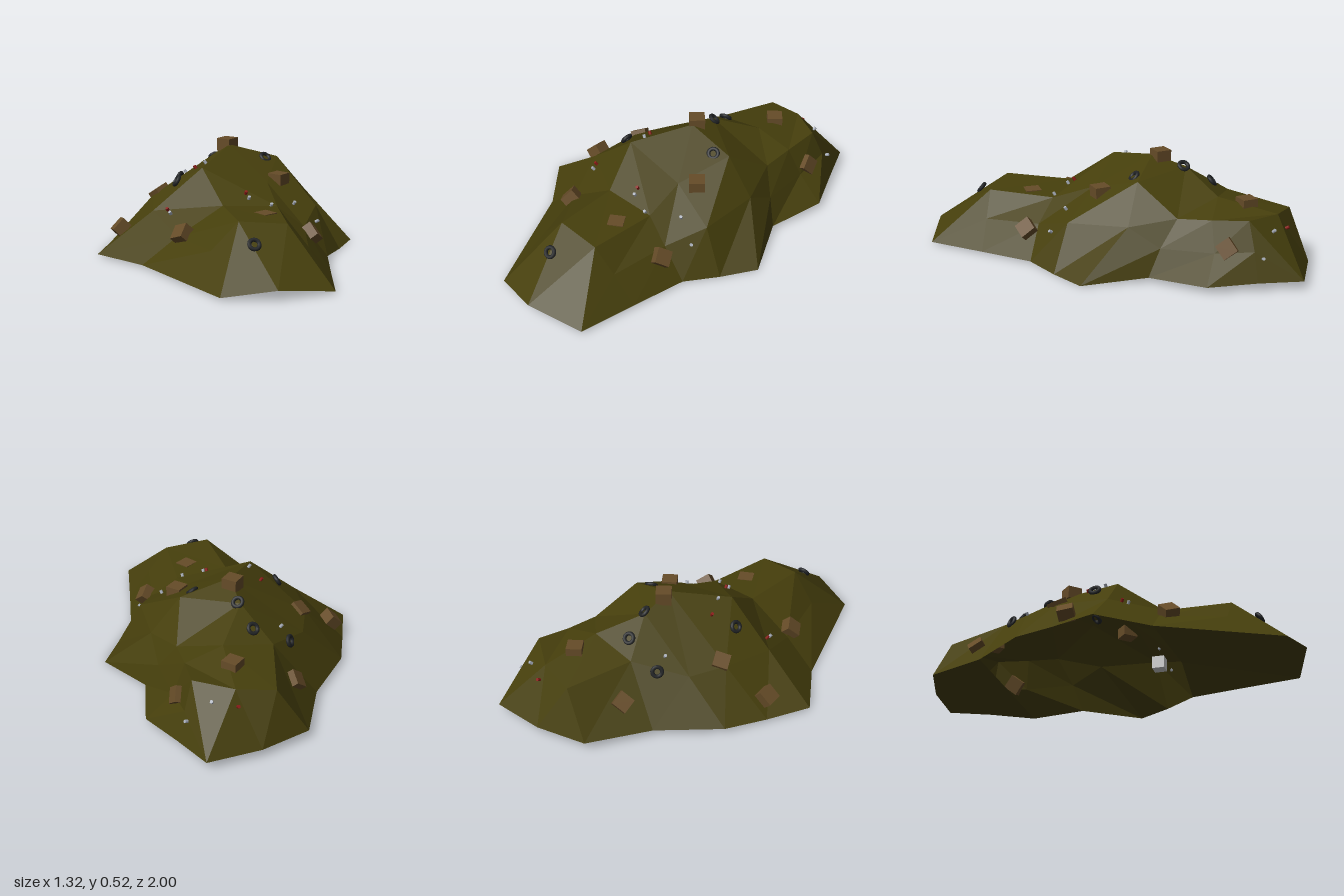
import * as THREE from 'three';

// Cross-sections of the heap from front to back, each from -x to +x: [x, y, z]
const [fl, fm, fr] = [[-.17, .01, .94], [.08, .05, 1], [.36, .01, .92]];
const [bl, bm, br] = [[-.14, .04, -.88], [.11, .04, -.97], [.38, .04, -1]];
const underside = [.18, .09, .35];
const body = [
  [[-.31, .01, .66], [-.17, .15, .66], [-.04, .285, .66], [.19, .265, .66], [.295, .145, .64], [.41, .01, .62]],
  [[-.46, .01, .36], [-.29, .14, .35], [-.06, .28, .32], [.21, .265, .31], [.34, .165, .34], [.46, .01, .34]],
  [[-.66, .01, .13], [-.38, .22, .12], [-.13, .425, .1], [.2, .34, .1], [.44, .225, .15], [.56, 0, .18]],
  [[-.58, .01, -.09], [-.35, .24, -.15], [.05, .49, -.16], [.3, .42, -.16], [.45, .24, -.16], [.66, 0, .01]],
  [[-.5, .02, -.3], [-.28, .23, -.33], [.04, .44, -.33], [.37, .28, -.38], [.45, .15, -.32], [.51, .02, -.28]],
  [[-.28, .03, -.57], [-.07, .305, -.52], [.18, .345, -.53], [.37, .29, -.55], [.435, .15, -.58], [.57, .03, -.58]],
  [bl, [.01, .27, -.85], [.2, .295, -.83], [.38, .31, -.73], [.425, .175, -.77], [.47, .04, -.8]],
];

function moundGeometry() {
  const rows = [[fl, fl, fl, fm, fr, fr], ...body, [bl, bl, bm, br, br, br]];
  const n = 6;
  const last = rows.length - 2;
  const index = [];
  for (let r = 0; r <= last; r++) {
    for (let c = 0; c < n - 1; c++) {
      const a = r * n + c, b = a + 1, d = a + n, e = d + 1;
      if (r === last) index.push(a, b, e, a, e, d);
      else index.push(a, b, d, b, e, d);
    }
  }
  // Undersides at the front (a fold around one raised point) and back; the middle stays open
  const cap = (ids) => {
    for (let i = 1; i < ids.length - 1; i++) index.push(ids[0], ids[i + 1], ids[i]);
  };
  const id = (r, c) => r * n + c;
  cap([id(9, 0), id(2, 0), id(1, 0), id(0, 0), id(0, 3), id(0, 5), id(1, 5), id(2, 5)]);
  cap([id(6, 0), id(6, 5), id(7, 5), id(8, 5), id(8, 2), id(8, 0)]);

  const g = new THREE.BufferGeometry();
  g.setAttribute('position', new THREE.Float32BufferAttribute([...rows.flat(2), ...underside], 3));
  g.setIndex(index);
  const flat = g.toNonIndexed();
  flat.computeVertexNormals();
  return flat;
}

export function createModel() {
  const group = new THREE.Group();
  const mat = (color, extra = {}) => new THREE.MeshStandardMaterial({ color, ...extra });

  // Heap
  const mound = new THREE.Mesh(moundGeometry(), mat(0x463f0c, { flatShading: true, side: THREE.DoubleSide }));
  mound.name = 'mound';
  mound.updateMatrixWorld(true);
  group.add(mound);

  // Sets an item onto the heap with its +y along the slope normal;
  // rise above 1 stands it more upright, below 1 tips it further downhill
  const ray = new THREE.Raycaster();
  const up = new THREE.Vector3(0, 1, 0);
  function place(name, geometry, material, x, z, { turn = 0, lift = 0, rise = 1 }) {
    ray.set(new THREE.Vector3(x, 2, z), new THREE.Vector3(0, -1, 0));
    const hit = ray.intersectObject(mound)[0];
    if (!hit) return;
    const normal = hit.face.normal.clone();
    normal.y *= rise;
    normal.normalize();
    const mesh = new THREE.Mesh(geometry, material);
    mesh.name = name;
    mesh.quaternion.setFromUnitVectors(up, normal)
      .multiply(new THREE.Quaternion().setFromAxisAngle(up, turn));
    mesh.position.copy(hit.point).addScaledVector(normal, lift);
    group.add(mesh);
  }

  // Cardboard boxes: x, z, turn, lift, rise
  const boxGeo = new THREE.BoxGeometry(.078, .066, .078);
  const boxMat = mat(0x664c28);
  [
    [.045, -.2, .8, .008, 50], [.17, -.67, .75, 0, 50], [.27, .04, .75, 0, 50], [.425, -.64, .7, -.005, 1],
    [-.14, -.64, .3, 0, 1], [-.51, -.04, .2, .022, 1], [-.32, -.155, .6, -.015, 1], [-.26, .39, .8, .01, 1],
    [.355, .39, .7, .01, 1], [.125, .455, .6, -.03, 4],
  ].forEach(([x, z, turn, lift, rise], i) =>
    place('box' + (i + 1), boxGeo, boxMat, x, z, { turn, lift, rise }));

  // Tyres half standing on the slopes: x, z, lift
  const tyreGeo = new THREE.TorusGeometry(.024, .01, 8, 16).rotateX(Math.PI / 2);
  const tyreMat = mat(0x222426);
  [[.01, .78, .01], [-.235, .015, .015], [.23, -.12, 0], [.05, -.32, .005], [.015, -.45, .01], [-.17, -.44, .01]]
    .forEach(([x, z, lift], i) => place('tyre' + (i + 1), tyreGeo, tyreMat, x, z, { lift, rise: .5 }));

  // Small cans, red and pale
  const canGeo = new THREE.CylinderGeometry(.008, .008, .024, 8);
  const redMat = mat(0x8c1c18), paleMat = mat(0xaab0bc);
  [[.2, -.87], [-.14, -.05], [-.31, .17], [.065, .245]]
    .forEach(([x, z], i) => place('redCan' + (i + 1), canGeo, redMat, x, z, { lift: .006 }));
  [[.31, -.83], [.42, -.81], [-.15, -.37], [-.1, .03], [-.3, .2], [.075, .275], [.18, .31], [.315, .2], [.42, .24]]
    .forEach(([x, z], i) => place('paleCan' + (i + 1), canGeo, paleMat, x, z, { lift: .006 }));

  // Pale crate buried under the heap
  const crate = new THREE.Mesh(new THREE.BoxGeometry(.065, .065, .065), mat(0xcccccc));
  crate.name = 'buriedCrate';
  crate.position.set(.31, .155, .2);
  group.add(crate);

  return group;
}
